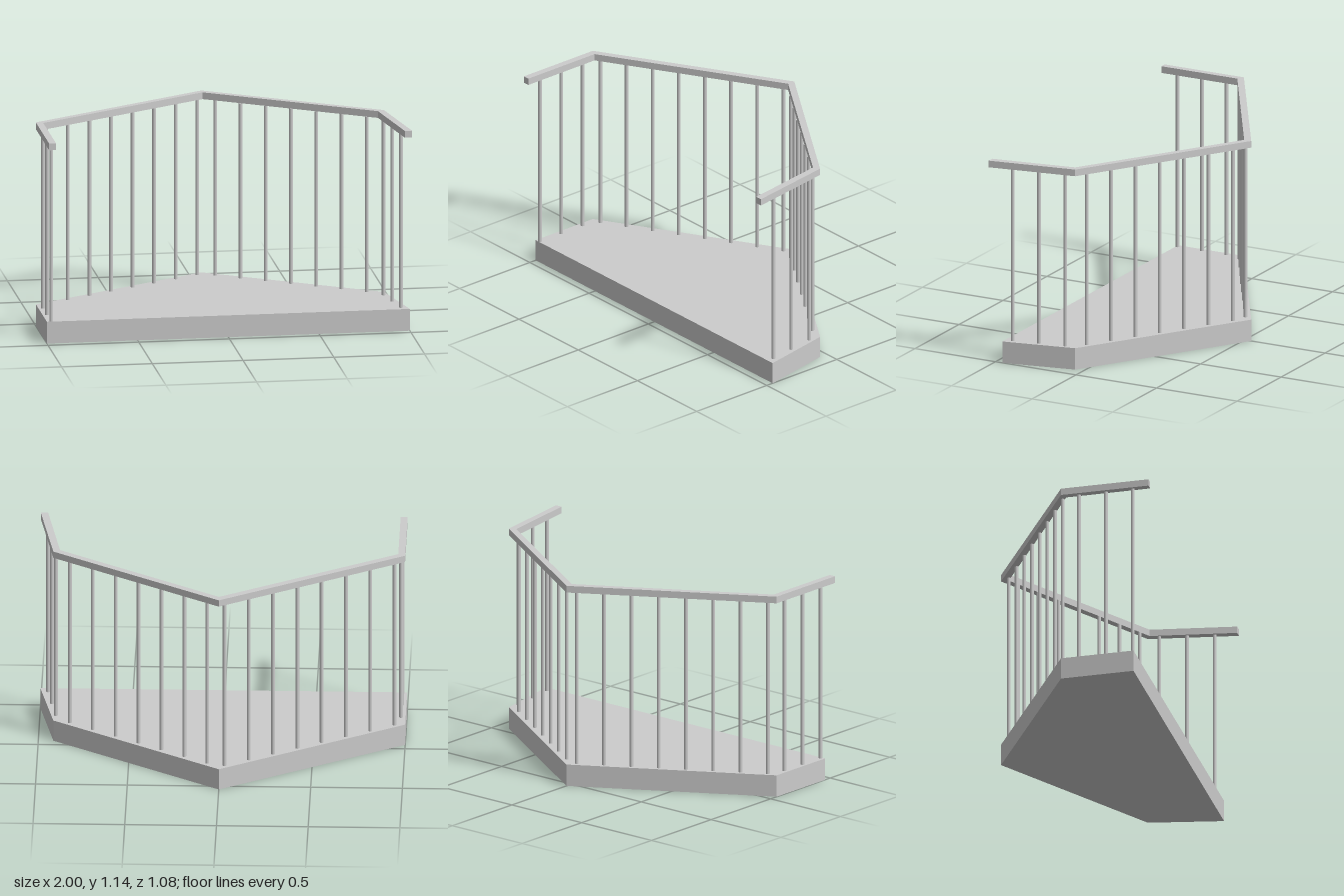
import * as THREE from 'three';

const SLAB_TOP = 0.122, RAIL_BOTTOM = 1.104, RAIL_TOP = 1.142;
const material = new THREE.MeshStandardMaterial({ color: 0xcccccc });

// Extrudes a plan outline of [x, z] points upwards from y0 to y1
function prism(name, outline, y0, y1) {
  const shape = new THREE.Shape(outline.map(([x, z]) => new THREE.Vector2(x, -z)));
  const geometry = new THREE.ExtrudeGeometry(shape, { depth: y1 - y0, bevelEnabled: false });
  geometry.rotateX(-Math.PI / 2).translate(0, y0, 0);
  const mesh = new THREE.Mesh(geometry, material);
  mesh.name = name;
  return mesh;
}

// Evenly spaced balusters between two [x, z] points
function balusterRow(name, [x0, z0], [x1, z1], count) {
  const row = new THREE.Group();
  row.name = name;
  const height = RAIL_BOTTOM - SLAB_TOP;
  const geometry = new THREE.CylinderGeometry(0.0105, 0.0105, height, 12);
  for (let i = 0; i < count; i++) {
    const t = i / (count - 1);
    const bar = new THREE.Mesh(geometry, material);
    bar.name = 'baluster';
    bar.position.set(x0 + (x1 - x0) * t, SLAB_TOP + height / 2, z0 + (z1 - z0) * t);
    row.add(bar);
  }
  return row;
}

export function createModel() {
  const group = new THREE.Group();
  group.name = 'balcony';

  // Five-sided floor slab
  const slab = [[-1, 0.458], [1, 0.458], [0.918, 0.05], [0, -0.542], [-1, 0.05]];
  group.add(prism('floorSlab', slab, 0, SLAB_TOP));

  // Handrail band following the slab edge and overhanging at the front
  const outer = [[-1, 0.542], [-1, 0.05], [0, -0.542], [0.918, 0.05], [1, 0.542]];
  const inner = [[0.96, 0.542], [0.882, 0.07], [0, -0.498], [-0.962, 0.07], [-0.962, 0.542]];
  group.add(prism('handrail', [...outer, ...inner], RAIL_BOTTOM, RAIL_TOP));

  // Balusters under each rail run
  group.add(
    balusterRow('rightSideBalusters', [-0.975, 0.448], [-0.975, 0.145], 3),
    balusterRow('rightBackBalusters', [-0.942, 0.045], [-0.03, -0.49], 8),
    balusterRow('leftBackBalusters', [0.065, -0.463], [0.827, 0.028], 7),
    balusterRow('leftSideBalusters', [0.906, 0.118], [0.957, 0.416], 3),
  );
  return group;
}
